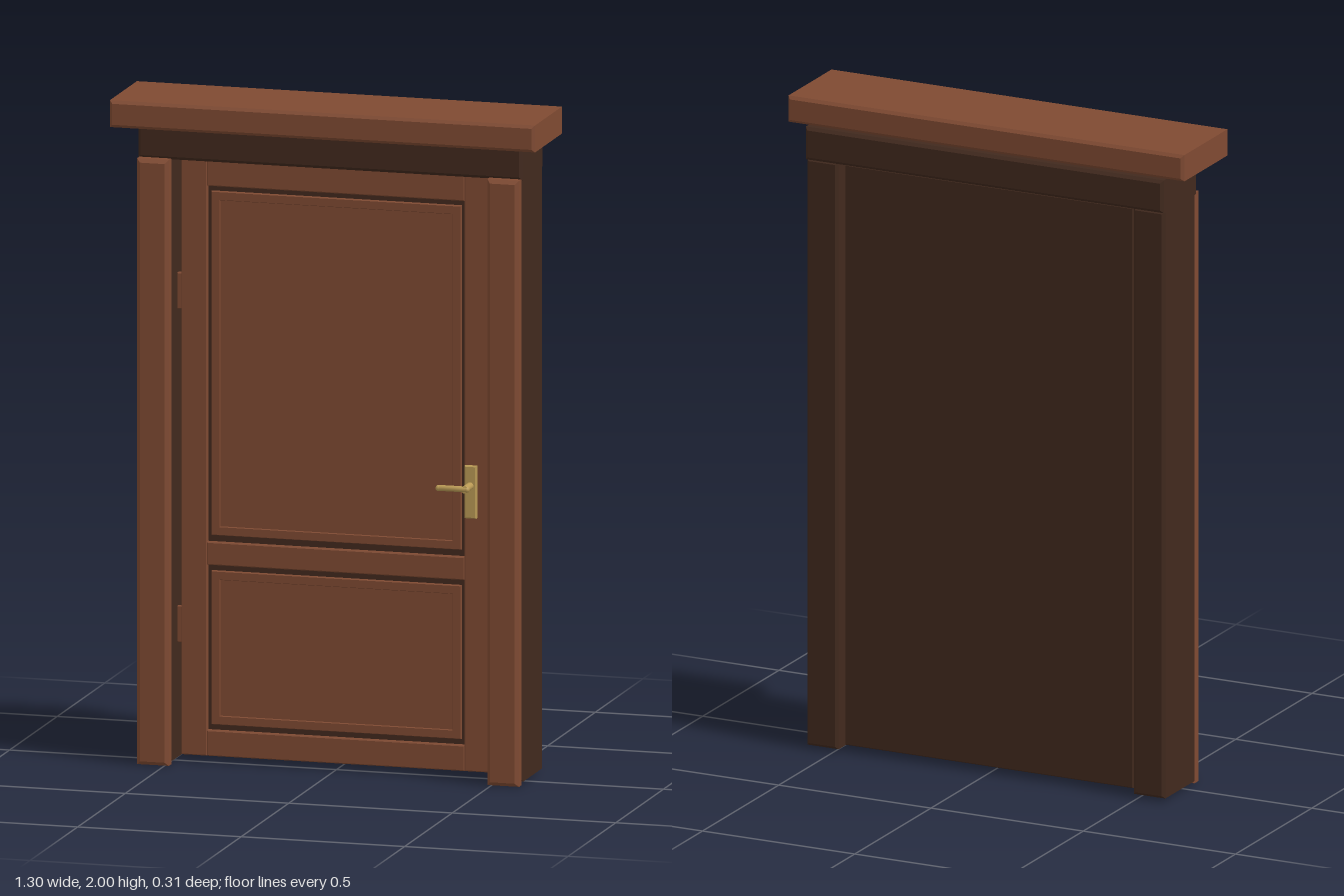
import * as THREE from 'three';

const mat = (name, color) => {
  const m = new THREE.MeshStandardMaterial({ color });
  m.name = name;
  return m;
};

export function createModel() {
  const brown = mat('warm brown wood', 0x7f4a32);
  const dark = mat('dark brown wood', 0x41291d);
  const brass = mat('brass', 0xba9a55);
  const model = new THREE.Group();
  model.name = 'door';

  // rectangle path, shared by boxes and frames
  const rect = (Type, x0, x1, y0, y1) => {
    const s = new Type();
    s.moveTo(x0, y0);
    s.lineTo(x1, y0);
    s.lineTo(x1, y1);
    s.lineTo(x0, y1);
    s.closePath();
    return s;
  };

  const add = (parent, name, geometry, material) => {
    const mesh = new THREE.Mesh(geometry, material);
    mesh.name = name;
    parent.add(mesh);
    return mesh;
  };

  // box between limits with chamfered edges of size b
  const block = (parent, name, material, [x0, x1], [y0, y1], [z0, z1], b = 0.006) => {
    const g = new THREE.ExtrudeGeometry(rect(THREE.Shape, x0 + b, x1 - b, y0 + b, y1 - b), {
      depth: z1 - z0 - 2 * b, bevelEnabled: true, bevelSize: b, bevelThickness: b, bevelSegments: 1,
    });
    g.translate(0, 0, z0 + b);
    return add(parent, name, g, material);
  };

  // surround: cornice, frieze and two posts with front casings
  block(model, 'cornice', brown, [-0.65, 0.65], [1.919, 2], [-0.145, 0.155], 0.009);
  block(model, 'frieze', dark, [-0.588, 0.588], [1.815, 1.916], [-0.155, 0.071], 0.009);
  for (const [side, s] of [['left', 1], ['right', -1]]) {
    const span = (a, b) => (s > 0 ? [a, b] : [-b, -a]);
    block(model, side + 'Post', dark, span(0.485, 0.588), [0.01, 1.818], [-0.145, 0.062], 0.008);
    block(model, side + 'Casing', brown, span(0.487, 0.584), [0, 1.818], [0.05, 0.098], 0.011);
  }

  // door leaf: dark core with a brown frame on the front
  const leaf = new THREE.Group();
  leaf.name = 'doorLeaf';
  model.add(leaf);
  block(leaf, 'core', dark, [-0.473, 0.473], [0.02, 1.807], [-0.12, -0.008], 0.003);
  for (const s of [-1, 1]) {
    block(leaf, s > 0 ? 'leftStile' : 'rightStile', brown,
      s > 0 ? [0.394, 0.473] : [-0.473, -0.394], [0.02, 1.807], [-0.015, 0.009], 0.003);
  }
  for (const [name, y0, y1] of [['bottomRail', 0.02, 0.097], ['middleRail', 0.593, 0.662], ['topRail', 1.73, 1.807]]) {
    block(leaf, name, brown, [-0.394, 0.394], [y0, y1], [-0.015, 0.009], 0.003);
  }

  // moulded panels, set inside dark grooves
  for (const [name, y0, y1] of [['lower', 0.116, 0.573], ['upper', 0.684, 1.712]]) {
    const frame = rect(THREE.Shape, -0.38, 0.38, y0, y1);
    frame.holes.push(rect(THREE.Path, -0.357, 0.357, y0 + 0.023, y1 - 0.023));
    const g = new THREE.ExtrudeGeometry(frame, {
      depth: 0.008, bevelEnabled: true, bevelSize: 0.002, bevelThickness: 0.004, bevelSegments: 1,
    });
    g.translate(0, 0, -0.008);
    add(leaf, name + 'Moulding', g, brown);
    block(leaf, name + 'Panel', brown, [-0.358, 0.358], [y0 + 0.022, y1 - 0.022], [-0.018, -0.001], 0.002);
  }

  // hinges in the gap beside the door
  for (const y of [0.41, 1.41]) {
    block(model, 'hinge', brown, [-0.488, -0.47], [y - 0.054, y + 0.054], [-0.012, 0.006], 0.002);
  }

  // handle: plate, spindle and lever
  const handle = new THREE.Group();
  handle.name = 'handle';
  model.add(handle);
  block(handle, 'handlePlate', brass, [0.398, 0.434], [0.782, 0.94], [0.008, 0.024], 0.003);
  const spindle = add(handle, 'handleSpindle', new THREE.CylinderGeometry(0.011, 0.011, 0.064, 16), brass);
  spindle.rotation.x = Math.PI / 2;
  spindle.position.set(0.415, 0.88, 0.05);
  const path = new THREE.CatmullRomCurve3([
    [0.42, 0.88, 0.076], [0.39, 0.881, 0.079], [0.36, 0.881, 0.079], [0.335, 0.88, 0.077],
  ].map((p) => new THREE.Vector3(...p)));
  add(handle, 'handleLever', new THREE.TubeGeometry(path, 16, 0.009, 12), brass);
  for (const t of [0, 1]) {
    const end = add(handle, 'leverEnd', new THREE.SphereGeometry(0.0095, 12, 8), brass);
    end.position.copy(path.getPoint(t));
  }
  return model;
}
